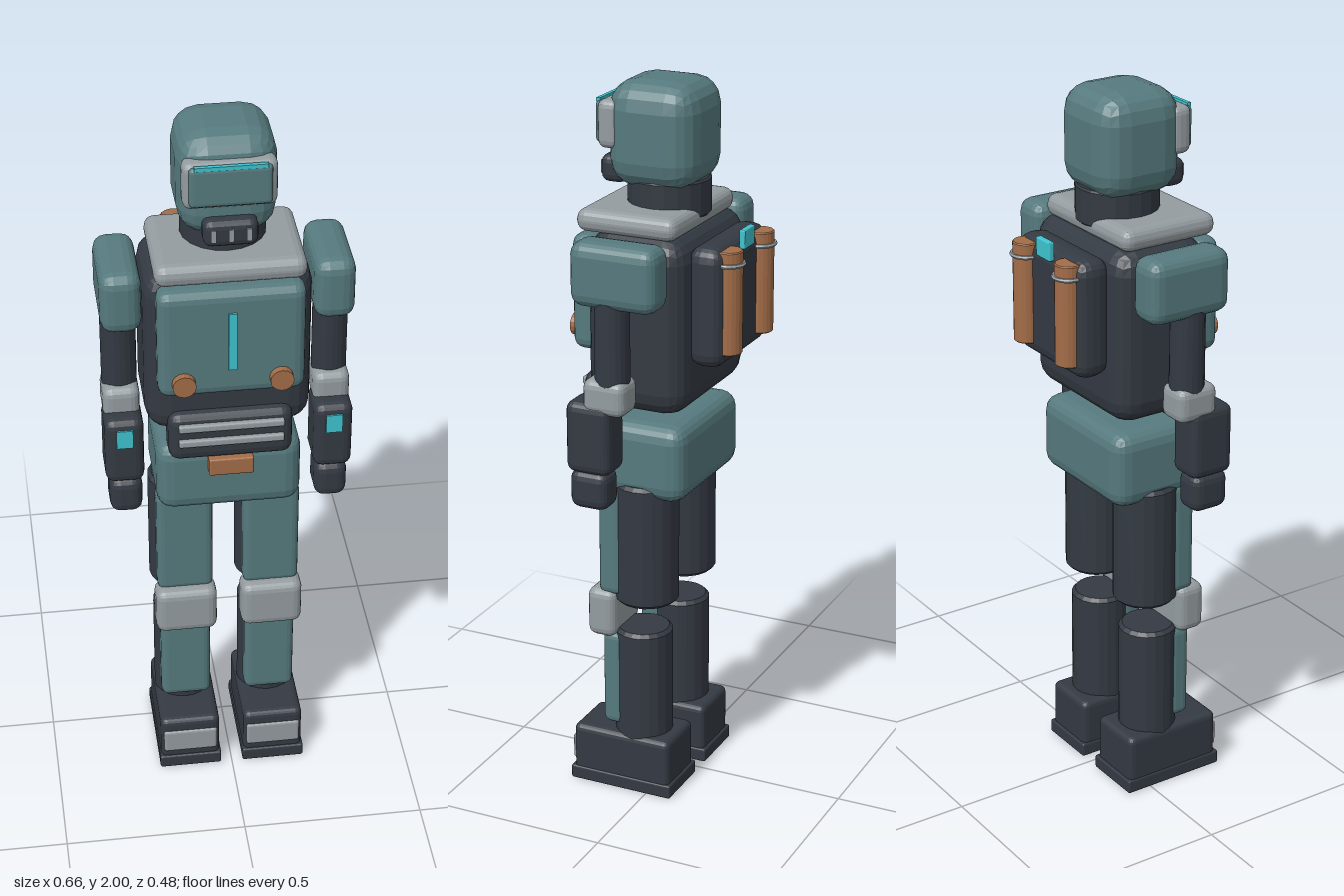
import * as THREE from 'three';
import { RoundedBoxGeometry } from 'three/addons/geometries/RoundedBoxGeometry.js';

const paint = (name, color) => {
  const m = new THREE.MeshStandardMaterial({ color, flatShading: true });
  m.name = name;
  return m;
};

export function createModel() {
  const teal = paint('tealArmour', 0x567a7e);
  const dark = paint('darkSuit', 0x343a43);
  const grey = paint('lightGrey', 0x949ca0);
  const copper = paint('copper', 0xa36d48);
  const cyan = paint('cyanGlow', 0x3ec4cf);

  const model = new THREE.Group();
  model.name = 'armouredFigure';

  const add = (parent, name, geometry, material) => {
    const mesh = new THREE.Mesh(geometry, material);
    mesh.name = name;
    parent.add(mesh);
    return mesh;
  };
  // Rounded block given by its extents along each axis
  const block = (parent, name, material, [x0, x1], [y0, y1], [z0, z1], r = 0.02) => {
    const size = [x1 - x0, y1 - y0, z1 - z0];
    const radius = Math.min(r, Math.min(...size) * 0.49);
    const geo = r > 0 ? new RoundedBoxGeometry(...size, 2, radius) : new THREE.BoxGeometry(...size);
    geo.translate((x0 + x1) / 2, (y0 + y1) / 2, (z0 + z1) / 2);
    return add(parent, name, geo, material);
  };
  // Upright rod with bevelled ends
  const rod = (parent, name, material, x, [y0, y1], z, r, bevel = 0.01) => {
    const points = [[0, y0], [r - bevel, y0], [r, y0 + bevel], [r, y1 - bevel], [r - bevel, y1], [0, y1]];
    const geo = new THREE.LatheGeometry(points.map(p => new THREE.Vector2(...p)), 20);
    geo.translate(x, 0, z);
    return add(parent, name, geo, material);
  };
  const group = (name) => {
    const g = new THREE.Group();
    g.name = name;
    model.add(g);
    return g;
  };

  // Head, visor and breathing mask
  const head = group('head');
  block(head, 'helmet', teal, [-0.128, 0.128], [1.715, 2], [-0.095, 0.158], 0.075);
  block(head, 'visorFrame', grey, [-0.12, 0.12], [1.818, 1.948], [0.115, 0.176], 0.022);
  block(head, 'visor', teal, [-0.105, 0.105], [1.83, 1.94], [0.16, 0.186], 0.012);
  block(head, 'visorStrip', cyan, [-0.092, 0.092], [1.935, 1.946], [0.176, 0.187], 0);
  block(head, 'mask', dark, [-0.07, 0.07], [1.715, 1.79], [0.12, 0.192], 0.022);
  for (const x of [-0.045, 0, 0.045])
    block(head, 'maskSlot', grey, [x - 0.007, x + 0.007], [1.735, 1.77], [0.188, 0.196], 0);
  rod(head, 'neck', dark, 0, [1.64, 1.74], 0.02, 0.112, 0.005);

  // Torso
  const torso = group('torso');
  block(torso, 'body', dark, [-0.22, 0.22], [1.135, 1.62], [-0.115, 0.172], 0.065);
  block(torso, 'collar', grey, [-0.196, 0.196], [1.61, 1.672], [-0.085, 0.204], 0.028);
  block(torso, 'chestPlate', teal, [-0.192, 0.192], [1.285, 1.602], [0.14, 0.22], 0.03);
  block(torso, 'chestStripe', cyan, [-0.011, 0.011], [1.37, 1.54], [0.218, 0.226], 0);
  for (const side of [-1, 1]) {
    const knob = new THREE.CylinderGeometry(0.031, 0.031, 0.06, 16);
    knob.rotateX(Math.PI / 2);
    knob.translate(side * 0.127, 1.335, 0.21);
    add(torso, 'chestKnob', knob, copper);
  }
  block(torso, 'bellyPlate', dark, [-0.165, 0.165], [1.068, 1.215], [0.1, 0.203], 0.03);
  for (const y of [1.18, 1.133])
    block(torso, 'bellyBar', grey, [-0.14, 0.14], [y - 0.011, y + 0.011], [0.196, 0.215], 0.006);
  block(torso, 'pelvis', teal, [-0.195, 0.195], [0.882, 1.098], [-0.105, 0.178], 0.045);
  block(torso, 'buckle', copper, [-0.06, 0.06], [1.02, 1.072], [0.165, 0.208], 0.005);

  // Backpack with two canisters
  const pack = group('backpack');
  block(pack, 'packBody', dark, [-0.162, 0.162], [1.27, 1.598], [-0.202, -0.1], 0.04);
  block(pack, 'packLight', cyan, [-0.033, 0.033], [1.57, 1.622], [-0.212, -0.195], 0.004);
  for (const side of [-1, 1]) {
    rod(pack, 'canister', copper, side * 0.102, [1.308, 1.588], -0.198, 0.037, 0.003);
    const ring = new THREE.TorusGeometry(0.039, 0.006, 6, 24);
    ring.rotateX(Math.PI / 2);
    ring.translate(side * 0.102, 1.552, -0.198);
    add(pack, 'canisterRing', ring, grey);
  }

  // Limbs, mirrored left and right
  for (const side of [1, -1]) {
    const label = side > 0 ? 'left' : 'right';
    const about = (cx, half) => [side * cx - half, side * cx + half];

    const arm = group(label + 'Arm');
    block(arm, 'shoulderPad', teal, about(0.277, 0.054), [1.45, 1.625], [-0.09, 0.158], 0.036);
    rod(arm, 'upperArm', dark, side * 0.28, [1.2, 1.5], 0.052, 0.047);
    block(arm, 'elbowPad', grey, about(0.28, 0.049), [1.16, 1.258], [0, 0.122], 0.025);
    block(arm, 'forearm', dark, about(0.279, 0.052), [0.99, 1.19], [0.042, 0.172], 0.025);
    block(arm, 'wristLight', cyan, about(0.279, 0.022), [1.11, 1.165], [0.168, 0.177], 0);
    block(arm, 'hand', dark, about(0.277, 0.044), [0.885, 0.995], [0.056, 0.168], 0.028);

    const leg = group(label + 'Leg');
    rod(leg, 'thigh', dark, side * 0.12, [0.565, 0.92], 0.033, 0.089);
    block(leg, 'thighPlate', teal, about(0.119, 0.077), [0.588, 0.915], [0.075, 0.147], 0.02);
    block(leg, 'kneePad', grey, about(0.119, 0.085), [0.458, 0.6], [0.095, 0.18], 0.025);
    rod(leg, 'shin', dark, side * 0.12, [0.15, 0.482], 0.043, 0.081);
    block(leg, 'shinPlate', teal, about(0.119, 0.07), [0.19, 0.47], [0.075, 0.14], 0.02);
    block(leg, 'boot', dark, about(0.119, 0.084), [0.02, 0.17], [-0.068, 0.226], 0.018);
    block(leg, 'sole', dark, about(0.119, 0.088), [0, 0.04], [-0.075, 0.233], 0.006);
    block(leg, 'toePlate', grey, about(0.119, 0.076), [0.058, 0.132], [0.215, 0.232], 0.008);
  }
  return model;
}
